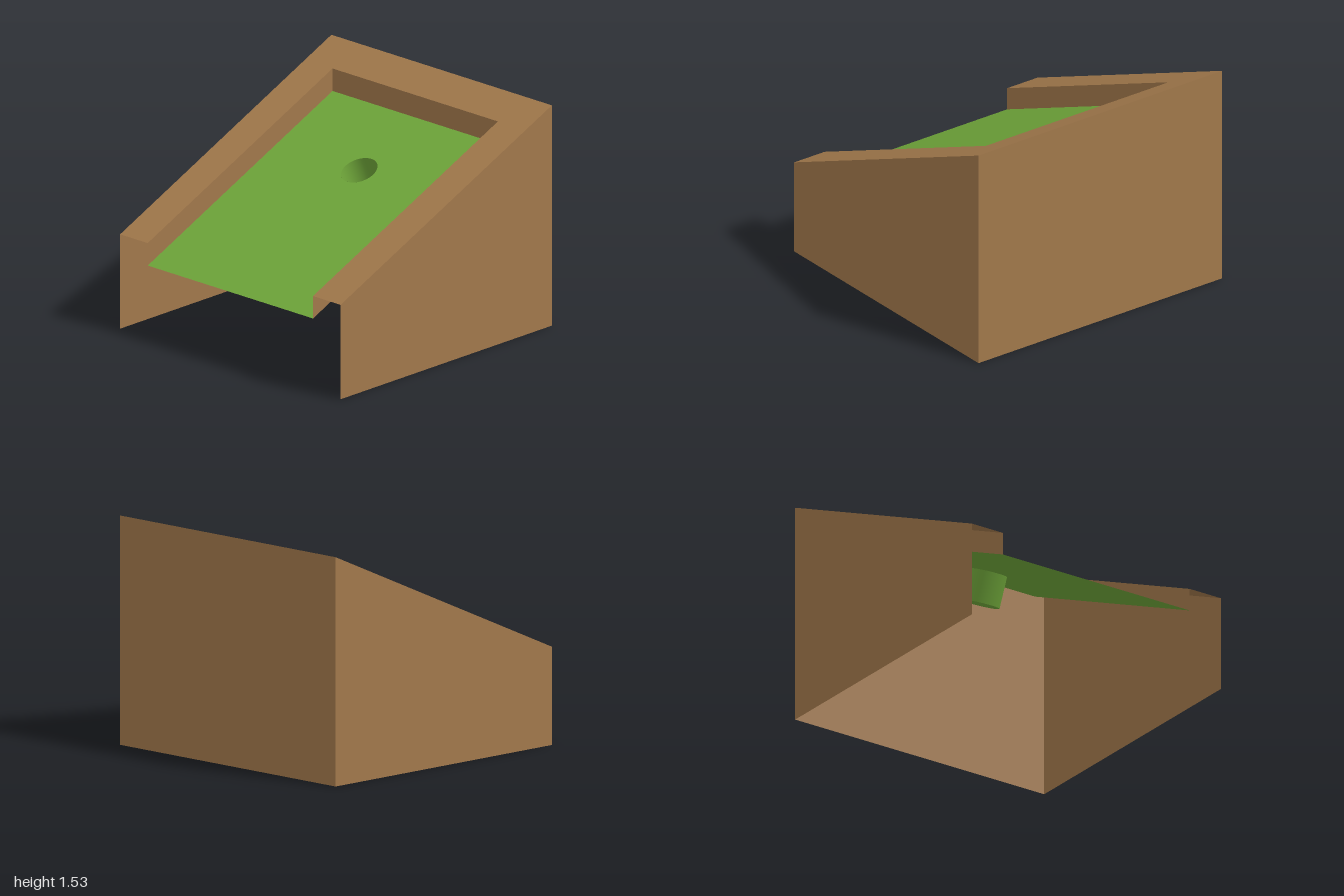
import * as THREE from 'three';

const SLOPE = 0.4375;        // rise per unit towards the back
const TILT = Math.atan(SLOPE);
const INNER = 0.75;          // half width and back line of the recess
const rimY = z => 0.656 + SLOPE * (1 - z);
const floorY = z => 0.5 + SLOPE * (1 - z);

function polygon(points) {
  return new THREE.Shape(points.map(([x, y]) => new THREE.Vector2(x, y)));
}

// Flat plan outline (x, -z) laid onto a sloping plane
function slopedSheet(shape, height) {
  const geo = new THREE.ShapeGeometry(shape, 40);
  geo.rotateX(-Math.PI / 2);
  const p = geo.attributes.position;
  for (let i = 0; i < p.count; i++) p.setY(i, height(p.getZ(i)));
  geo.computeVertexNormals();
  return geo;
}

// Upright sheet facing +x, outlined by (-z, y)
function sideSheet(points) {
  return new THREE.ShapeGeometry(polygon(points)).rotateY(Math.PI / 2);
}

export function createModel() {
  const group = new THREE.Group();
  const wood = new THREE.MeshStandardMaterial({ color: 0xa1784b, side: THREE.DoubleSide });
  wood.name = 'brown wood';
  const turf = new THREE.MeshStandardMaterial({ color: 0x6fa63a, side: THREE.DoubleSide });
  turf.name = 'green turf';

  const add = (name, geo, material, parent = group) => {
    const mesh = new THREE.Mesh(geo, material);
    mesh.name = name;
    parent.add(mesh);
    return mesh;
  };

  // Side walls and the recess walls inside them
  for (const [side, s] of [['left', 1], ['right', -1]]) {
    const wall = add(side + 'Wall', sideSheet([[-1, 0], [1, 0], [1, rimY(-1)], [-1, rimY(1)]]), wood);
    wall.position.x = s;
    const lip = add(side + 'RecessWall', sideSheet([
      [-1, floorY(1)], [INNER, floorY(-INNER)], [INNER, rimY(-INNER)], [-1, rimY(1)]]), wood);
    lip.position.x = s * INNER;
    if (s < 0) wall.rotation.y = 0;
  }

  // Back wall and the recess wall in front of it
  const back = add('backWall', new THREE.PlaneGeometry(2, rimY(-1)), wood);
  back.rotation.y = Math.PI;
  back.position.set(0, rimY(-1) / 2, -1);
  const backLip = add('backRecessWall', new THREE.PlaneGeometry(2 * INNER, rimY(0) - floorY(0)), wood);
  backLip.position.set(0, (rimY(-INNER) + floorY(-INNER)) / 2, -INNER);

  // U-shaped sloping rim
  add('rim', slopedSheet(polygon([
    [-1, -1], [-INNER, -1], [-INNER, INNER], [INNER, INNER],
    [INNER, -1], [1, -1], [1, 1], [-1, 1]]), rimY), wood);

  // Sloping turf with a round hole
  const R = 0.125, DEPTH = 0.214, HOLE_Z = -0.22;
  const turfShape = polygon([[-INNER, -1], [INNER, -1], [INNER, INNER], [-INNER, INNER]]);
  turfShape.holes.push(new THREE.Path().absellipse(0, -HOLE_Z, R, R * Math.cos(TILT), 0, Math.PI * 2, true));
  add('turf', slopedSheet(turfShape, floorY), turf);

  // Cup sunk square to the slope
  const cup = new THREE.Group();
  cup.name = 'holeCup';
  cup.position.set(0, floorY(HOLE_Z), HOLE_Z);
  cup.rotation.x = TILT;
  group.add(cup);
  add('cupWall', new THREE.CylinderGeometry(R, R, DEPTH, 40, 1, true), turf, cup).position.y = -DEPTH / 2;
  const base = add('cupBase', new THREE.CircleGeometry(R, 40), turf, cup);
  base.rotation.x = -Math.PI / 2;
  base.position.y = -DEPTH;

  return group;
}
